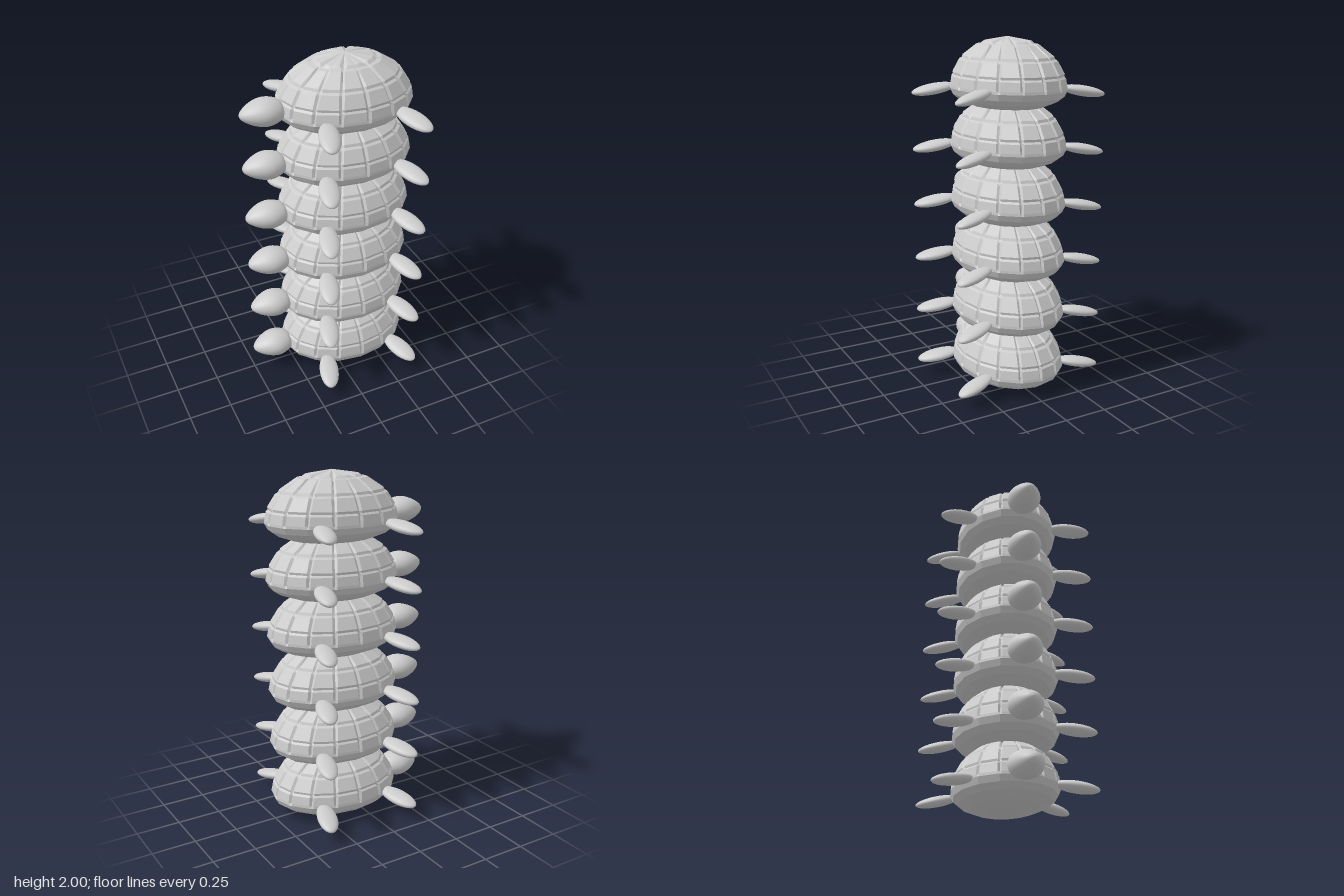
import * as THREE from 'three';

const COUNT = 6, PITCH = 0.32, SIDES = 16;
const CX = 0.1, RX = 0.393, RZ = 0.302, RIM_Y = 0.12;

const mat = new THREE.MeshStandardMaterial({ color: 0xcccccc, side: THREE.DoubleSide });
const flatMat = new THREE.MeshStandardMaterial({ color: 0xcccccc, flatShading: true, side: THREE.DoubleSide });

function mesh(name, geometry, material = mat) {
  const m = new THREE.Mesh(geometry, material);
  m.name = name;
  return m;
}

// Join equal rings of points (top to bottom) into one surface
function loft(rings) {
  const n = rings[0].length, index = [];
  for (let i = 0; i < rings.length - 1; i++) {
    for (let j = 0; j < n; j++) {
      const k = (j + 1) % n;
      const a = i * n + j, b = i * n + k, c = a + n, d = b + n;
      index.push(a, b, c, b, d, c);
    }
  }
  const g = new THREE.BufferGeometry();
  g.setAttribute('position', new THREE.Float32BufferAttribute(rings.flat(2), 3));
  g.setIndex(index);
  g.computeVertexNormals();
  return g;
}

// Domed shell: facetted plates parted by V grooves along the spokes
function shellGeometry() {
  const height = 0.28;
  // elevation in degrees, groove half-width, groove depth, sunken seam depth
  const rows = [
    [90, 0.3, 0, 0], [66, 0.34, 0.035, 0], [62, 0.2, 0.03, 0.025], [58, 0.14, 0.035, 0],
    [39, 0.12, 0.035, 0], [36, 0.12, 0.03, 0.02], [33, 0.12, 0.035, 0],
    [18, 0.1, 0.035, 0], [15.5, 0.1, 0.03, 0.02], [13, 0.1, 0.04, 0],
    [3, 0.09, 0.035, 0], [0, 0.09, 0, 0],
  ];
  const rings = rows.map(([deg, width, depth, seam]) => {
    const e = THREE.MathUtils.degToRad(deg);
    const spoke = (k, s) => {
      const a = (k / SIDES) * Math.PI * 2;
      return [
        CX + RX * Math.cos(e) * Math.cos(a) * s,
        RIM_Y + height * Math.sin(e) * s,
        RZ * Math.cos(e) * Math.sin(a) * s,
      ];
    };
    const ring = [];
    for (let k = 0; k < SIDES; k++) {
      // on the crown every other groove is deeper, giving a star
      const cut = deg > 50 ? depth * (k % 2 ? 1.3 : 0.3) : depth;
      const p = spoke(k, 1 - seam), q = spoke(k + 1, 1 - seam);
      const mix = t => p.map((v, i) => v + (q[i] - v) * t);
      ring.push(spoke(k, 1 - Math.max(cut, seam)), mix(width), mix(1 - width));
    }
    return ring;
  });
  return loft(rings);
}

// Shallow belly below the rim
function bellyGeometry() {
  const profile = [[1, RIM_Y], [0.95, 0.085], [0.84, 0.056], [0.62, 0.026], [0.35, 0.008], [0, 0]];
  return loft(profile.map(([r, y]) => Array.from({ length: SIDES }, (_, k) => {
    const a = (k / SIDES) * Math.PI * 2;
    return [CX + RX * r * Math.cos(a), y, RZ * r * Math.sin(a)];
  })));
}

// Egg-shaped head pointing to -x
function headGeometry() {
  const curve = new THREE.SplineCurve([
    [0, -0.25], [0.06, -0.27], [0.086, -0.31], [0.096, -0.355], [0.088, -0.4],
    [0.066, -0.445], [0.038, -0.48], [0.018, -0.495], [0, -0.5],
  ].map(p => new THREE.Vector2(...p)));
  const points = curve.getPoints(20).map(p => new THREE.Vector2(Math.max(0, p.x), -p.y)).reverse();
  points.reverse();
  const g = new THREE.LatheGeometry(points, 28);
  g.rotateZ(Math.PI / 2);
  g.scale(1, 0.78, 1);
  g.translate(0, 0.148, 0);
  return g;
}

const shellGeo = shellGeometry(), bellyGeo = bellyGeometry(), headGeo = headGeometry();
const flipperGeo = new THREE.SphereGeometry(1, 24, 16);
flipperGeo.scale(0.058, 0.03, 0.125);

function flipper(name, sx, sz) {
  const m = mesh(name, flipperGeo);
  m.position.set(CX + sx * 0.243, 0.108, sz * 0.337);
  m.rotation.order = 'YXZ';
  m.rotation.set(sz * 0.17, sx * sz * 0.33, sx * 0.12);
  return m;
}

function turtle() {
  const g = new THREE.Group();
  g.add(mesh('shell', shellGeo, flatMat), mesh('belly', bellyGeo, flatMat), mesh('head', headGeo));
  for (const sz of [1, -1]) {
    const side = sz > 0 ? 'Near' : 'Far';
    g.add(flipper('foreFlipper' + side, -1, sz), flipper('hindFlipper' + side, 1, sz));
  }
  return g;
}

export function createModel() {
  const model = new THREE.Group();
  model.name = 'turtleStack';
  for (let i = 0; i < COUNT; i++) {
    const t = turtle();
    t.name = 'turtle' + (i + 1);
    t.position.y = i * PITCH;
    model.add(t);
  }
  return model;
}
